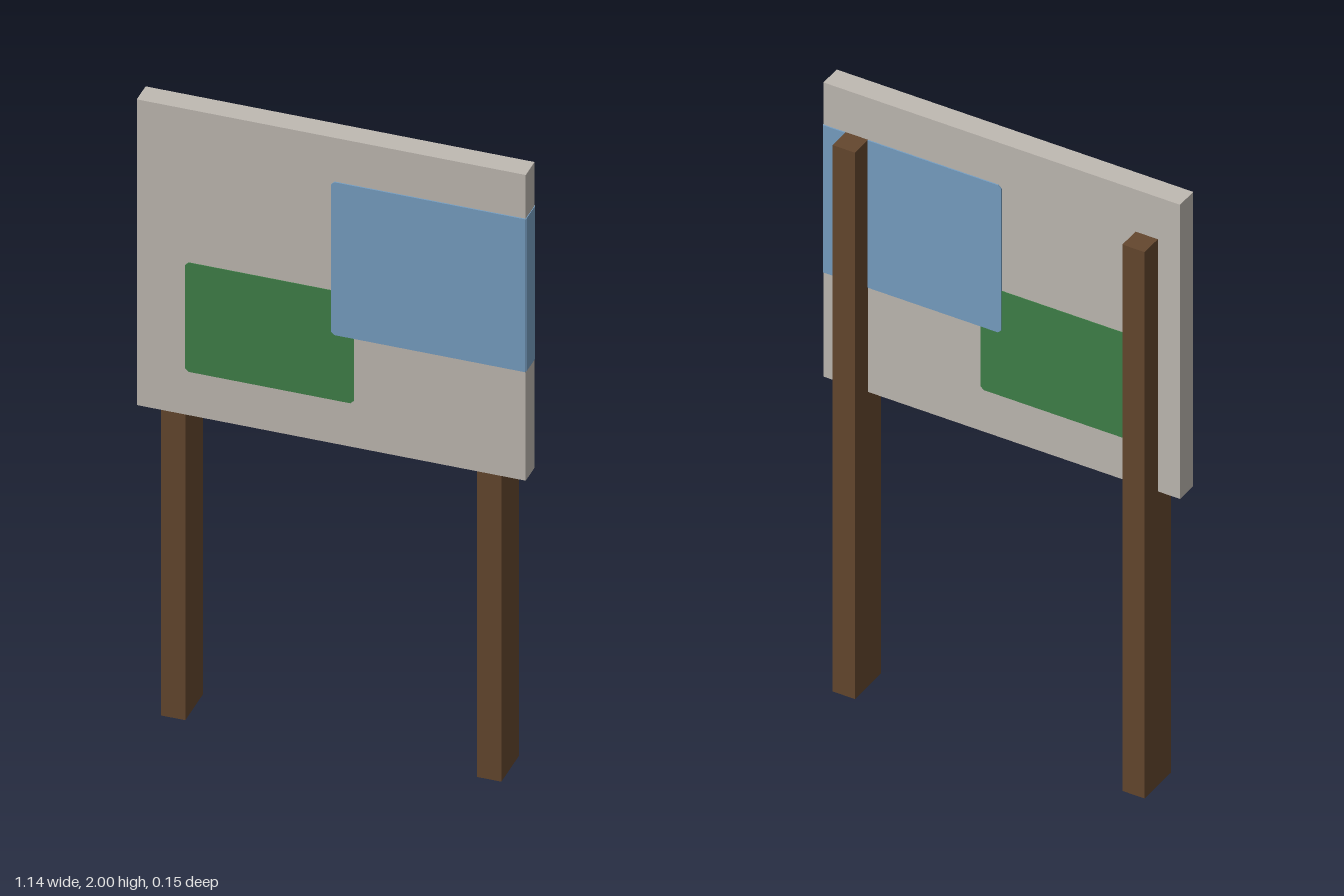
import * as THREE from 'three';

const U = 1 / 14; // timber thickness, used as the module for all sizes
const SKIN = 0.002; // paint thickness

export function createModel() {
  const model = new THREE.Group();
  model.name = 'signBoard';

  const mat = (name, color) => {
    const m = new THREE.MeshStandardMaterial({ color });
    m.name = name;
    return m;
  };
  const wood = mat('brown wood', 0x64472e);
  const panel = mat('pale grey panel', 0xbfb9b2);
  const green = mat('green paint', 0x3f8048);
  const blue = mat('blue paint', 0x779fc2);

  const add = (name, geometry, material, parent = model) => {
    const mesh = new THREE.Mesh(geometry, material);
    mesh.name = name;
    parent.add(mesh);
    return mesh;
  };
  // Box given by its minimum and maximum corners
  const box = (x0, x1, y0, y1, z0, z1) =>
    new THREE.BoxGeometry(x1 - x0, y1 - y0, z1 - z0)
      .translate((x0 + x1) / 2, (y0 + y1) / 2, (z0 + z1) / 2);

  // Posts: thick below the board, stepped back to half depth behind it
  for (const [name, x] of [['leftPost', 6 * U], ['rightPost', -7 * U]]) {
    const outline = new THREE.Shape([
      [-U, 0], [U, 0], [U, 1], [0, 1], [0, 26 * U], [-U, 26 * U],
    ].map(([z, y]) => new THREE.Vector2(-z, y)));
    const g = new THREE.ExtrudeGeometry(outline, { depth: U, bevelEnabled: false });
    g.rotateY(Math.PI / 2).translate(x, 0, 0);
    add(name, g, wood);
  }

  // Board
  add('board', box(-8 * U, 8 * U, 1, 2, 0, U), panel);

  // Painted patch with clipped corners; the right side may stay square
  const patch = (x0, x1, y0, y1, z, depth, squareRight) => {
    const c = 0.01, r = squareRight ? 0 : c;
    const pts = [[x0 + c, y0], [x1 - r, y0]];
    if (r) pts.push([x1, y0 + r]);
    pts.push([x1, y1 - r]);
    if (r) pts.push([x1 - r, y1]);
    pts.push([x0 + c, y1], [x0, y1 - c], [x0, y0 + c]);
    const s = new THREE.Shape(pts.map(([x, y]) => new THREE.Vector2(x, y)));
    return new THREE.ExtrudeGeometry(s, { depth, bevelEnabled: false }).translate(0, 0, z);
  };

  // Patches on both faces, blue lying over green
  for (const [side, z, dir] of [['front', U, 1], ['back', 0, -1]]) {
    const at = (t) => (dir > 0 ? z : z - t);
    add(side + 'GreenPatch', patch(-6 * U, 0.067, 16 * U, 21 * U, at(SKIN), SKIN, false), green);
    add(side + 'BluePatch', patch(0, 8 * U, 19 * U, 26 * U, at(2 * SKIN), 2 * SKIN, true), blue);
  }
  // Blue wraps around the left edge of the board
  add('edgeBluePatch', box(8 * U, 8 * U + SKIN, 19 * U, 26 * U, 0, U), blue);

  return model;
}
